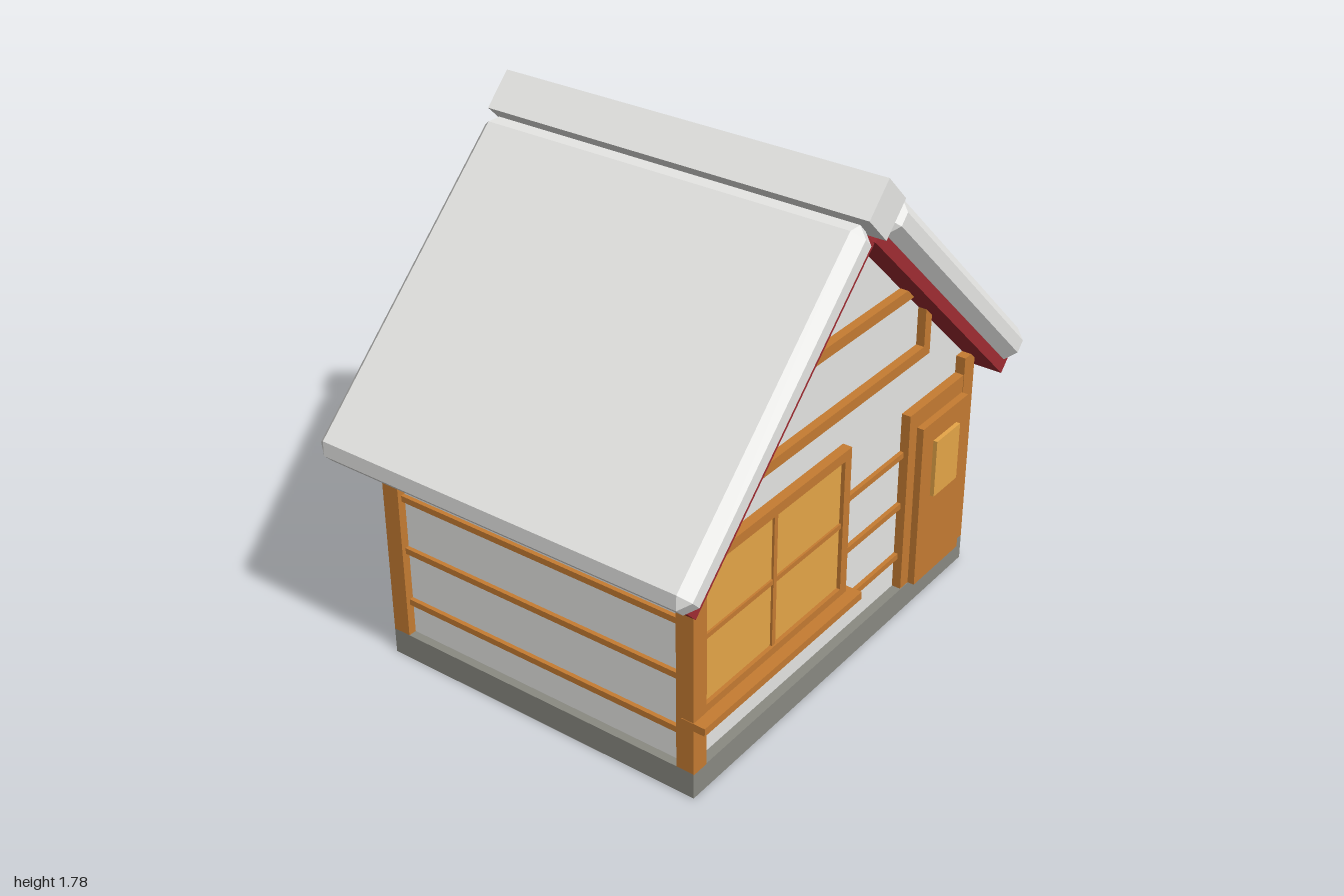
import * as THREE from 'three';
import { ConvexGeometry } from 'three/addons/geometries/ConvexGeometry.js';

const material = (name, color) => {
  const m = new THREE.MeshStandardMaterial({ color });
  m.name = name;
  return m;
};

export function createModel() {
  const snow = material('snow', 0xe8e8e6);
  const plaster = material('plaster', 0xe6e6e4);
  const wood = material('wood', 0xc67c32);
  const glow = material('lit glass', 0xe6a648);
  const red = material('red roof boards', 0xa02c32);
  const stone = material('stone', 0x8a8a82);

  const CX = -0.033; // middle of the house, which sits left of centre
  const SLOPE = Math.atan2(0.689, 0.725);
  const model = new THREE.Group();
  model.name = 'snowyCottage';

  const add = (name, geometry, mat, parent = model) => {
    const mesh = new THREE.Mesh(geometry, mat);
    mesh.name = name;
    parent.add(mesh);
    return mesh;
  };
  // box given by its two extreme corners
  const box = (name, mat, [x0, y0, z0], [x1, y1, z1], parent = model) => {
    const mesh = add(name, new THREE.BoxGeometry(x1 - x0, y1 - y0, z1 - z0), mat, parent);
    mesh.position.set((x0 + x1) / 2, (y0 + y1) / 2, (z0 + z1) / 2);
    return mesh;
  };
  // box with all edges cut at 45 degrees
  const chamferBox = (w, h, d, b) => {
    const points = [];
    for (const sx of [-1, 1]) for (const sy of [-1, 1]) for (const sz of [-1, 1]) {
      for (const [bx, by, bz] of [[0, b, b], [b, 0, b], [b, b, 0]]) {
        points.push(new THREE.Vector3(sx * (w / 2 - bx), sy * (h / 2 - by), sz * (d / 2 - bz)));
      }
    }
    return new ConvexGeometry(points);
  };
  // four bars around a rectangular opening
  const frame = (name, x0, y0, x1, y1, t, z0, z1) => {
    const g = new THREE.Group();
    g.name = name;
    box('frameLeft', wood, [x0, y0, z0], [x0 + t, y1, z1], g);
    box('frameRight', wood, [x1 - t, y0, z0], [x1, y1, z1], g);
    box('frameTop', wood, [x0 + t, y1 - t, z0], [x1 - t, y1, z1], g);
    box('frameBottom', wood, [x0 + t, y0, z0], [x1 - t, y0 + t, z1], g);
    model.add(g);
  };

  // Foundation
  box('foundation', stone, [-0.83, 0, -0.615], [0.765, 0.093, 0.615]);

  // Gabled body
  const gable = new THREE.Shape([
    new THREE.Vector2(CX - 0.767, 0.08), new THREE.Vector2(CX + 0.767, 0.08),
    new THREE.Vector2(CX + 0.767, 0.847), new THREE.Vector2(CX, 1.575),
    new THREE.Vector2(CX - 0.767, 0.847),
  ]);
  const body = new THREE.ExtrudeGeometry(gable, { depth: 1.16, bevelEnabled: false });
  body.translate(0, 0, -0.58);
  add('walls', body, plaster);

  // Corner posts
  for (const x of [-0.83, 0.7]) {
    for (const z of [-0.615, 0.55]) {
      box('cornerPost', wood, [x, 0.09, z], [x + 0.065, 0.838, z + 0.065]);
    }
  }

  // Horizontal battens on all four walls
  for (const y of [0.208, 0.41, 0.61]) {
    for (const side of [-1, 1]) {
      const long = box('wallBatten', wood, [-0.78, y, -0.008], [0.715, y + 0.022, 0.008]);
      long.position.z = side * 0.587;
      const short = box('sideBatten', wood, [-0.008, y, -0.56], [0.008, y + 0.022, 0.56]);
      short.position.x = CX + side * 0.774;
    }
  }

  // Large front window
  frame('windowFrame', -0.803, 0.28, 0, 0.836, 0.036, 0.57, 0.614);
  box('windowGlass', glow, [-0.77, 0.31, 0.575], [-0.03, 0.81, 0.6]);
  box('windowMullion', wood, [-0.414, 0.31, 0.59], [-0.396, 0.805, 0.608]);
  box('windowTransom', wood, [-0.77, 0.548, 0.59], [-0.03, 0.566, 0.607]);
  box('windowSill', wood, [-0.832, 0.26, 0.57], [0.028, 0.288, 0.657]);

  // Attic window frame
  frame('atticFrame', -0.526, 0.965, 0.46, 1.256, 0.038, 0.57, 0.61);

  // Door
  box('doorFrame', wood, [0.357, 0.09, 0.57], [0.75, 0.774, 0.613]);
  box('doorLeaf', wood, [0.405, 0.093, 0.6], [0.695, 0.71, 0.638]);
  box('doorGlass', glow, [0.475, 0.42, 0.63], [0.625, 0.635, 0.653]);

  // Roof boards and snow layers, mirrored about the ridge
  for (const side of [-1, 1]) {
    const boards = add(side < 0 ? 'rightRoofBoards' : 'leftRoofBoards',
      new THREE.BoxGeometry(1.203, 0.057, 1.36), red);
    boards.position.set(CX + side * 0.459, 1.175, 0);
    boards.rotation.z = -side * SLOPE;
    const layer = add(side < 0 ? 'rightRoofSnow' : 'leftRoofSnow',
      chamferBox(1.214, 0.12, 1.436, 0.037), snow);
    layer.position.set(CX + side * 0.512, 1.226, 0);
    layer.rotation.z = -side * SLOPE;
  }

  // Ridge beam
  const ridge = add('ridgeBeam', new THREE.BoxGeometry(0.14, 0.14, 1.436), snow);
  ridge.position.set(CX, 1.686, 0);
  ridge.rotation.z = Math.PI / 4;

  // Snow-covered step beside the house
  const step = add('sideStep', chamferBox(0.28, 0.125, 0.4, 0.038), snow);
  step.position.set(0.86, 0.0625, 0.243);

  return model;
}
